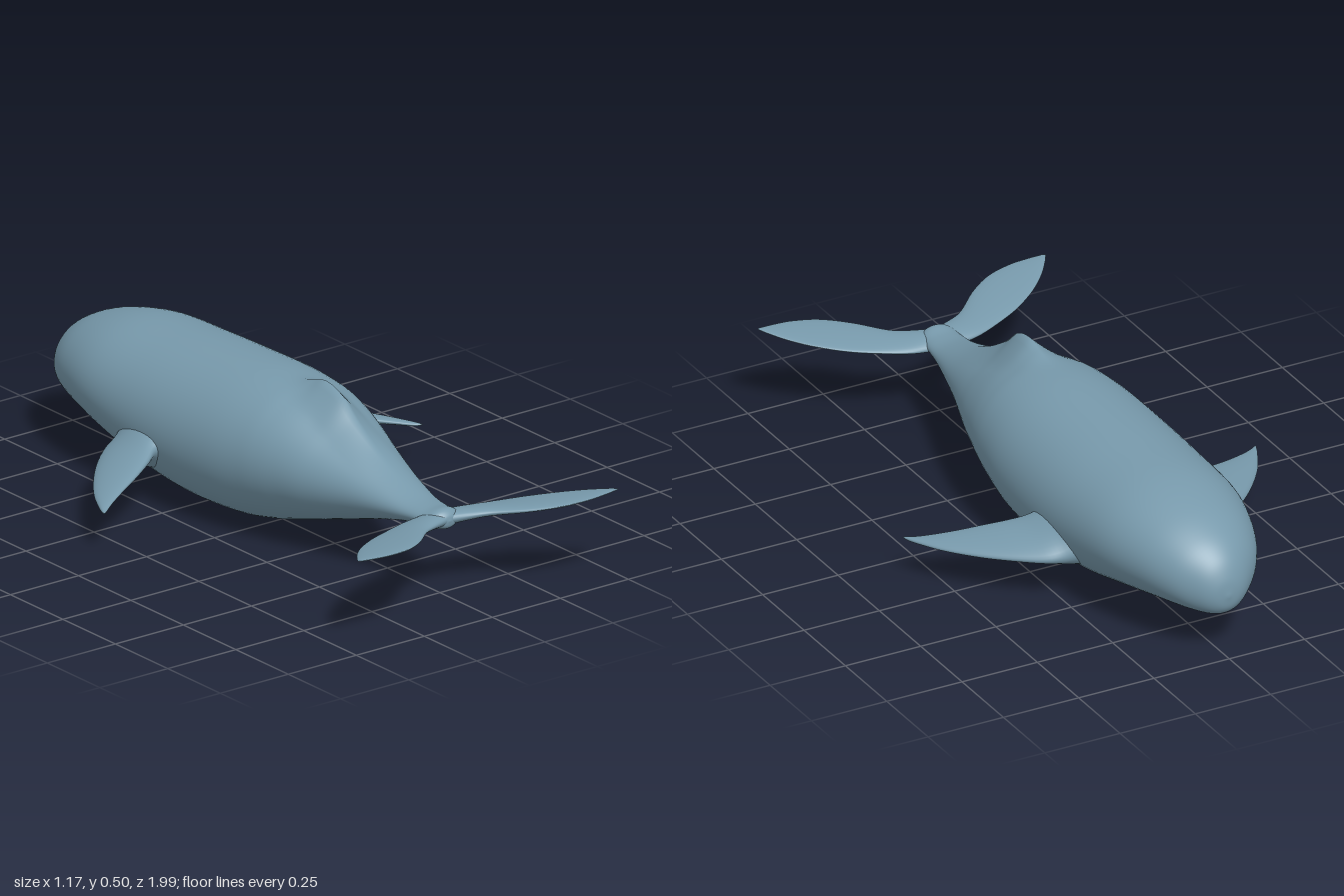
import * as THREE from 'three';
import { mergeVertices } from 'three/addons/utils/BufferGeometryUtils.js';

// Smoothly resample a table of station rows; every column follows a uniform spline.
function resample(rows, count) {
  const columns = rows[0].map((_, c) => new THREE.CatmullRomCurve3(
    rows.map((r) => new THREE.Vector3(r[c], 0, 0)), false, 'catmullrom', 0.5));
  return Array.from({ length: count + 1 }, (_, i) =>
    columns.map((curve) => curve.getPoint(i / count).x));
}

// Skin a surface over rings; point(row, angle) gives each vertex as [x, y, z].
function loft(rows, sides, point) {
  const pos = [], idx = [];
  rows.forEach((row) => {
    for (let j = 0; j < sides; j++) pos.push(...point(row, (j / sides) * Math.PI * 2));
  });
  for (let i = 0; i < rows.length - 1; i++) {
    for (let j = 0; j < sides; j++) {
      const a = i * sides + j, b = i * sides + (j + 1) % sides;
      idx.push(a, a + sides, b, b, a + sides, b + sides);
    }
  }
  const geo = new THREE.BufferGeometry();
  geo.setAttribute('position', new THREE.Float32BufferAttribute(pos, 3));
  geo.setIndex(idx);
  const merged = mergeVertices(geo, 1e-5);
  merged.computeVertexNormals();
  return merged;
}

// Body stations, nose to tail: z, top, bottom, half width, dorsal ridge height
const BODY = [
  [-1.0, 0.21, 0.21, 0, 0],
  [-0.99, 0.265, 0.165, 0.047, 0],
  [-0.96, 0.32, 0.138, 0.092, 0],
  [-0.9, 0.37, 0.126, 0.146, 0],
  [-0.8, 0.415, 0.112, 0.195, 0],
  [-0.65, 0.448, 0.082, 0.236, 0],
  [-0.45, 0.459, 0.032, 0.253, 0],
  [-0.25, 0.467, 0.006, 0.258, 0],
  [-0.05, 0.473, 0.012, 0.25, 0],
  [0.08, 0.468, 0.036, 0.232, 0.004],
  [0.15, 0.455, 0.055, 0.218, 0.031],
  [0.21, 0.438, 0.073, 0.202, 0.062],
  [0.28, 0.41, 0.094, 0.182, 0.07],
  [0.35, 0.381, 0.116, 0.158, 0.04],
  [0.45, 0.344, 0.147, 0.124, 0.013],
  [0.55, 0.307, 0.176, 0.095, 0.003],
  [0.65, 0.278, 0.2, 0.07, 0],
  [0.72, 0.27, 0.212, 0.06, 0],
  [0.77, 0.275, 0.212, 0.052, 0],
  [0.793, 0.262, 0.222, 0.03, 0],
  [0.8, 0.243, 0.243, 0, 0],
];

// Flipper stations, root to tip: x, leading z, trailing z, centre y, half thickness, trailing rise
const FLIPPER = [
  [0.15, -0.51, -0.23, 0.185, 0.1, 0.01],
  [0.22, -0.49, -0.255, 0.182, 0.075, 0.015],
  [0.26, -0.475, -0.265, 0.175, 0.05, 0.02],
  [0.31, -0.452, -0.237, 0.165, 0.033, 0.016],
  [0.38, -0.393, -0.2, 0.155, 0.023, 0.011],
  [0.45, -0.318, -0.168, 0.145, 0.017, 0.007],
  [0.52, -0.225, -0.132, 0.136, 0.011, 0.003],
  [0.565, -0.143, -0.104, 0.131, 0.007, 0],
  [0.58, -0.11, -0.094, 0.131, 0.004, 0],
  [0.587, -0.092, -0.092, 0.132, 0, 0],
];

// Fluke stations, root to tip: x, leading z, trailing z, half thickness
const FLUKE = [
  [0, 0.71, 0.795, 0.024],
  [0.06, 0.712, 0.815, 0.02],
  [0.12, 0.722, 0.845, 0.016],
  [0.2, 0.752, 0.918, 0.013],
  [0.28, 0.79, 0.968, 0.011],
  [0.36, 0.844, 0.988, 0.008],
  [0.42, 0.9, 0.989, 0.006],
  [0.46, 0.951, 0.986, 0.004],
  [0.473, 0.971, 0.984, 0.002],
  [0.478, 0.98, 0.98, 0],
];

function bodyGeometry() {
  return loft(resample(BODY, 120), 64, ([z, top, bottom, w, ridge], a) => {
    const x = w * Math.sin(a);
    let y = (top + bottom) / 2 + ((top - bottom) / 2) * Math.cos(a);
    // pinch the back up into a low dorsal ridge
    if (Math.cos(a) > 0) y += ridge * Math.pow(Math.max(0, 1 - Math.abs(x) / 0.09), 1.4);
    return [x, y, z];
  });
}

function flipperGeometry(side) {
  return loft(resample(FLIPPER, 40), 32, ([x, lead, trail, y, t, rise], a) => {
    const s = -side * Math.sin(a);
    return [side * x, y + t * Math.cos(a) + rise * s,
      (lead + trail) / 2 + ((trail - lead) / 2) * s];
  });
}

function flukeGeometry(side) {
  return loft(resample(FLUKE, 40), 32, ([x, lead, trail, t], a) => {
    const z = (lead + trail) / 2 - side * ((trail - lead) / 2) * Math.sin(a);
    // the blade slopes up toward the rear and the tip
    const y = 0.235 + 0.13 * (z - 0.72) + 0.018 * (x / 0.48) ** 2;
    return [side * x, y + t * Math.cos(a), z];
  });
}

export function createModel() {
  const model = new THREE.Group();
  model.name = 'whale';
  const skin = new THREE.MeshStandardMaterial({ color: 0x7799ab });
  skin.name = 'blue grey skin';

  const add = (name, geometry) => {
    const mesh = new THREE.Mesh(geometry, skin);
    mesh.name = name;
    model.add(mesh);
  };

  add('body', bodyGeometry());
  for (const [label, side] of [['left', 1], ['right', -1]]) {
    add(`${label}Flipper`, flipperGeometry(side));
    add(`${label}TailFluke`, flukeGeometry(side));
  }
  return model;
}
